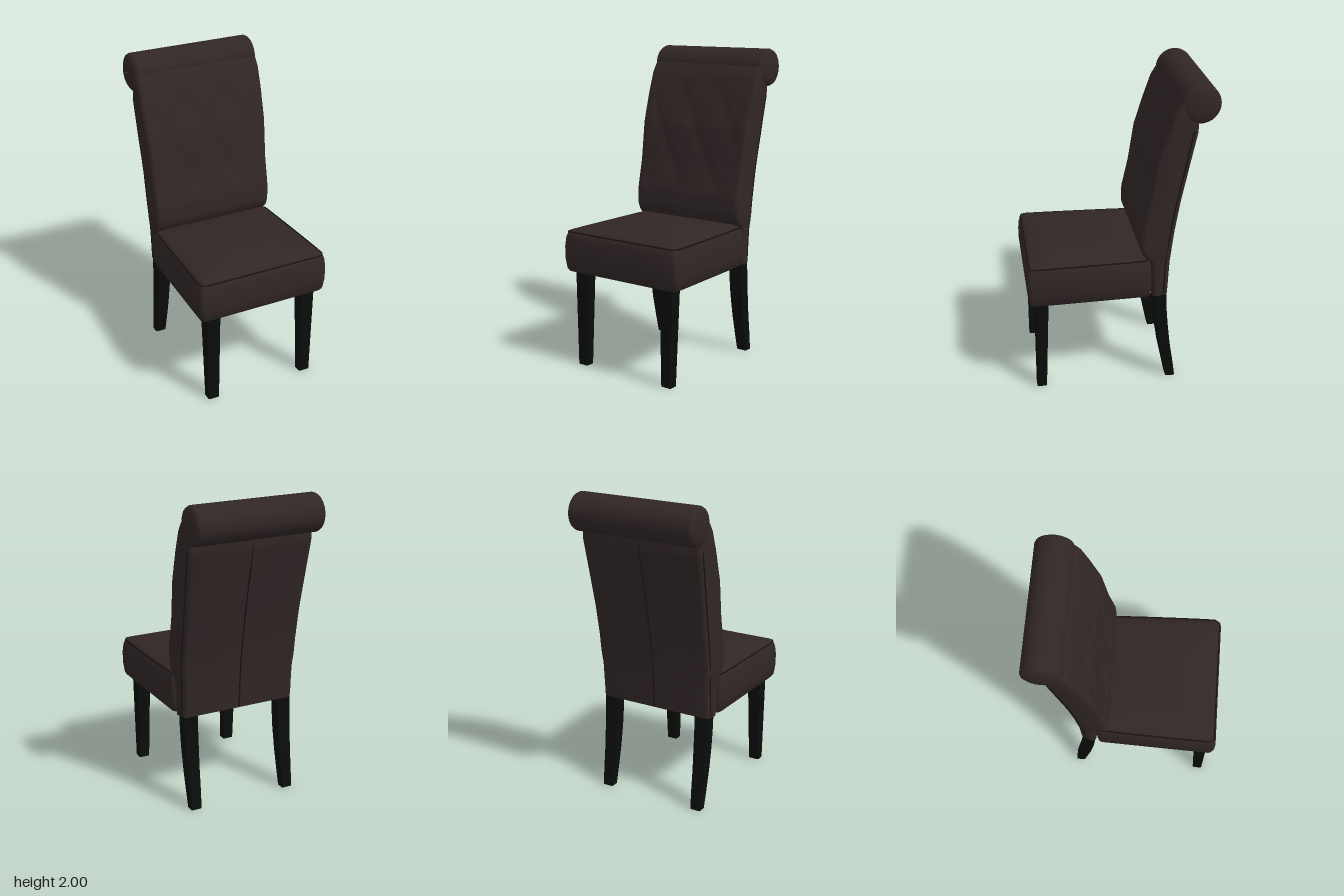
import * as THREE from 'three';
import { toCreasedNormals } from 'three/addons/utils/BufferGeometryUtils.js';

const material = (name, color) => {
  const m = new THREE.MeshStandardMaterial({ color });
  m.name = name;
  return m;
};

// Rounded trapezoid outline in x/z, counterclockwise seen from above
function section(y, zFront, zBack, wFront, wBack, r, frontSteps = 1, arc = 4) {
  const pts = [];
  const corner = (cx, cz, start) => {
    for (let i = 0; i <= arc; i++) {
      const a = (start + i / arc) * Math.PI / 2;
      pts.push(new THREE.Vector3(cx + r * Math.cos(a), y, cz - r * Math.sin(a)));
    }
  };
  corner(wBack - r, zBack + r, 0);
  corner(-wBack + r, zBack + r, 1);
  corner(-wFront + r, zFront - r, 2);
  for (let i = 1; i < frontSteps; i++) {
    pts.push(new THREE.Vector3((wFront - r) * (2 * i / frontSteps - 1), y, zFront));
  }
  corner(wFront - r, zFront - r, 3);
  return pts;
}

// Skin a stack of equal outlines and close both ends
function loft(rings, crease = 0.7) {
  const n = rings[0].length, pos = [], index = [];
  rings.flat().forEach(p => pos.push(p.x, p.y, p.z));
  for (let i = 0; i < rings.length - 1; i++) {
    for (let j = 0; j < n; j++) {
      const k = (j + 1) % n, a = i * n + j, b = i * n + k;
      index.push(a, b, b + n, a, b + n, a + n);
    }
  }
  [0, rings.length - 1].forEach(i => {
    const c = new THREE.Vector3();
    rings[i].forEach(p => c.addScaledVector(p, 1 / n));
    const centre = pos.length / 3;
    pos.push(c.x, c.y, c.z);
    for (let j = 0; j < n; j++) {
      const a = i * n + j, b = i * n + (j + 1) % n;
      if (i === 0) index.push(centre, b, a);
      else index.push(centre, a, b);
    }
  });
  const g = new THREE.BufferGeometry();
  g.setAttribute('position', new THREE.Float32BufferAttribute(pos, 3));
  g.setIndex(index);
  return toCreasedNormals(g, crease);
}

export function createModel() {
  const chair = new THREE.Group();
  chair.name = 'diningChair';
  const leather = material('dark brown leather', 0x312626);
  const seamMat = material('seam', 0x191313);
  const wood = material('black wood', 0x0b0c0c);
  const lining = material('olive lining', 0x352b1b);

  const add = (name, geometry, mat) => {
    const mesh = new THREE.Mesh(geometry, mat);
    mesh.name = name;
    chair.add(mesh);
    return mesh;
  };
  const seam = (name, pts, closed = false) => add(name, new THREE.TubeGeometry(
    new THREE.CatmullRomCurve3(pts, closed, 'centripetal'), 90, 0.005, 5, closed), seamMat);

  // Seat: gently bulging walls, then shrinking outlines for the crowned top
  const seatRing = (y, grow) =>
    section(y, 0.575 + grow, -0.185 - grow / 2, 0.428 + grow, 0.405 + grow, 0.03, 8);
  const seatRings = [[0.62, -0.006], [0.635, 0.004], [0.7, 0.012], [0.78, 0.013], [0.84, 0.007], [0.875, -0.004]]
    .map(([y, grow]) => seatRing(y, grow));
  const rim = seatRings[seatRings.length - 1];
  for (const s of [0.96, 0.9, 0.8, 0.68, 0.52, 0.35, 0.15]) {
    seatRings.push(rim.map(p => new THREE.Vector3(
      p.x * s, 0.88 + 0.048 * (1 - s ** 3), 0.2 + (p.z - 0.2) * s)));
  }
  add('seat', loft(seatRings), leather);
  seam('seatPiping', rim, true);
  add('seatLining', loft([0.616, 0.622].map(y => section(y, 0.54, -0.17, 0.4, 0.38, 0.02))), lining);

  // Backrest levels: height, front z, back z, half width
  const levels = [
    [0.62, -0.2, -0.3, 0.4], [0.85, -0.19, -0.312, 0.402], [0.9, -0.14, -0.317, 0.408],
    [0.95, -0.12, -0.322, 0.41], [1.06, -0.122, -0.336, 0.41], [1.25, -0.165, -0.368, 0.412],
    [1.5, -0.205, -0.418, 0.42], [1.7, -0.27, -0.46, 0.426], [1.83, -0.315, -0.465, 0.426],
    [1.91, -0.362, -0.47, 0.42], [1.965, -0.408, -0.475, 0.413]];
  const at = y => {
    let i = 0;
    while (i < levels.length - 2 && y > levels[i + 1][0]) i++;
    const t = (y - levels[i][0]) / (levels[i + 1][0] - levels[i][0]);
    return levels[i].map((v, k) => THREE.MathUtils.lerp(v, levels[i + 1][k], t));
  };
  // Diamond creases sink into the front of the cushion
  const tuft = (x, y) => {
    const a = Math.abs(Math.sin(Math.PI * (x / 0.28 + y / 0.5)));
    const b = Math.abs(Math.sin(Math.PI * (x / 0.28 - y / 0.5)));
    const fade = THREE.MathUtils.smoothstep(y, 1, 1.2) * (1 - THREE.MathUtils.smoothstep(y, 1.65, 1.82))
      * (1 - THREE.MathUtils.smoothstep(Math.abs(x), 0.3, 0.39));
    return 0.016 * fade * ((1 - a) ** 2 + (1 - b) ** 2) / 1.5;
  };
  const backRings = [];
  for (let i = 0; i <= 56; i++) {
    const y = THREE.MathUtils.lerp(0.62, 1.965, i / 56);
    const [, zf, zb, w] = at(y);
    const ring = section(y, zf, zb, w, w - 0.012, 0.03, 40);
    ring.forEach(p => { if (p.z > zf - 0.01) p.z -= tuft(p.x, y); });
    backRings.push(ring);
  }
  add('backrest', loft(backRings, 0.9), leather);

  // Rolled top with softly domed ends
  const half = [[0.001, 0.436], [0.05, 0.434], [0.09, 0.427], [0.112, 0.415], [0.12, 0.4]];
  const profile = [...half.map(([r, x]) => [r, -x]), ...half.slice().reverse()]
    .map(([r, x]) => new THREE.Vector2(r, x));
  const roll = add('topRoll', new THREE.LatheGeometry(profile, 32), leather);
  roll.rotation.z = Math.PI / 2;
  roll.position.set(0, 1.878, -0.47);

  // Seams down the rear panel and along its side edges
  const heights = [0.63, 0.85, 1.05, 1.25, 1.5, 1.72];
  seam('rearSeam', heights.map(y => new THREE.Vector3(0, y, at(y)[2])));
  for (const side of [1, -1]) {
    seam(side > 0 ? 'leftEdgeSeam' : 'rightEdgeSeam', heights.map(y => {
      const [, , zb, w] = at(y);
      return new THREE.Vector3(side * (w - 0.012), y, zb + 0.03);
    }));
  }

  // Legs: straight tapered front pair, swept rear pair; height, z, half size
  const legs = {
    FrontLeg: [[0, 0.512, 0.031], [0.64, 0.498, 0.043]],
    RearLeg: [[0, -0.332, 0.03], [0.12, -0.311, 0.034], [0.25, -0.287, 0.037],
      [0.4, -0.267, 0.04], [0.52, -0.256, 0.041], [0.64, -0.25, 0.042]]
  };
  for (const [name, steps] of Object.entries(legs)) {
    for (const side of [1, -1]) {
      const rings = steps.map(([y, z, h]) => section(y, z + h, z - h, h + 0.006, h + 0.006, 0.006, 1, 1));
      const leg = add((side > 0 ? 'left' : 'right') + name, loft(rings, 0.5), wood);
      leg.position.x = side * 0.333;
    }
  }
  return chair;
}
